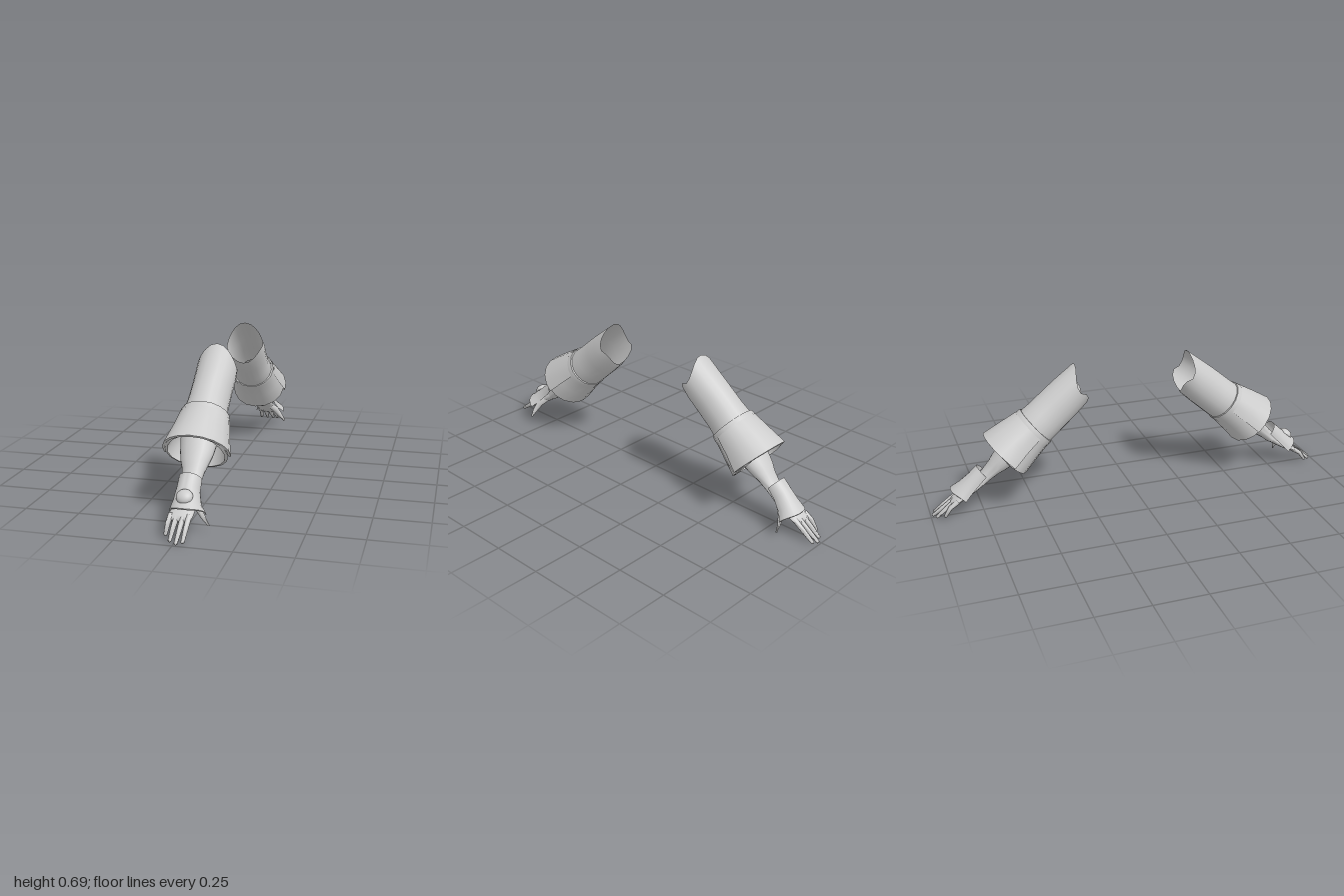
import * as THREE from 'three';
import { toCreasedNormals } from 'three/addons/utils/BufferGeometryUtils.js';

const armour = new THREE.MeshStandardMaterial({ color: 0xcccccc, side: THREE.DoubleSide });
armour.name = 'pale grey';

const DEG = Math.PI / 180;

// Skins elliptical rings [along, centreX, centreY, radiusX, radiusY]; from/to give an open arc in degrees.
// shift(angle, ringIndex) moves ring points along the arm.
function loft(name, rings, { sides = 16, from = 0, to = 360, shift = () => 0, crease = 0.7 } = {}) {
  const closed = to - from === 360;
  const count = closed ? sides : sides + 1;
  const pos = [], index = [];
  rings.forEach(([u, cx, cy, rx, ry], r) => {
    for (let i = 0; i < count; i++) {
      const a = (from + (to - from) * i / sides) * DEG;
      pos.push(cx + rx * Math.cos(a), cy + ry * Math.sin(a), u + shift(a, r));
    }
  });
  for (let r = 0; r < rings.length - 1; r++) {
    for (let i = 0; i < sides; i++) {
      const j = (i + 1) % count;
      const a = r * count + i, b = r * count + j, c = a + count, d = b + count;
      index.push(a, b, d, a, d, c);
    }
  }
  let geo = new THREE.BufferGeometry();
  geo.setAttribute('position', new THREE.Float32BufferAttribute(pos, 3));
  geo.setIndex(index);
  geo.computeVertexNormals();
  geo = toCreasedNormals(geo, crease);
  const mesh = new THREE.Mesh(geo, armour);
  mesh.name = name;
  return mesh;
}

// Tapered digit through [x, y, along, radius] points, closed at the tip
function digit(name, pts) {
  const rings = pts.map(([x, y, u, r]) => [u, x, y, r, r]);
  const [x, y, u, r] = pts[pts.length - 1];
  rings.push([u + r * 0.6, x, y, r * 0.6, r * 0.6], [u + r * 0.8, x, y, 0.0003, 0.0003]);
  return loft(name, rings, { sides: 10, crease: 1.4 });
}

// Wavy shoulder opening: peak on top, notches at the sides, dip below
function sleeveRim(a, ring) {
  if (ring > 0) return 0;
  const s = Math.sin(a);
  return s > 0 ? -0.07 * s * s : 0.08 * s + 0.11 * s * s;
}

// One arm, built along +z with the back of the hand facing +y
function buildArm(withKnob) {
  const arm = new THREE.Group();

  arm.add(loft('upperSleeve', [
    [0.03, 0.002, 0.007, 0.092, 0.089],
    [0.08, 0.004, 0.006, 0.093, 0.095],
    [0.15, 0.002, 0.005, 0.091, 0.098],
    [0.24, 0.000, 0.004, 0.092, 0.099],
    [0.31, 0.000, 0.005, 0.101, 0.101],
    [0.36, 0.000, 0.005, 0.100, 0.098],
  ], { sides: 20, shift: sleeveRim }));

  // Flared cuff with a rolled start, thick rim and inner wall
  arm.add(loft('elbowCuff', [
    [0.292, 0, 0.006, 0.100, 0.100],
    [0.292, 0, 0.006, 0.109, 0.105],
    [0.310, 0, 0.006, 0.113, 0.107],
    [0.330, 0, 0.006, 0.112, 0.107],
    [0.400, 0, 0.008, 0.125, 0.118],
    [0.482, 0, 0.009, 0.139, 0.133],
    [0.486, 0, 0.009, 0.127, 0.121],
    [0.430, 0, 0.006, 0.112, 0.106],
    [0.360, 0, 0.003, 0.080, 0.070],
  ], { sides: 16, shift: (a, r) => (r > 4 && r < 7 ? 0.012 * Math.cos(a) ** 2 : 0) }));

  // Overlapping upper plate of the cuff with pointed side corners
  arm.add(loft('cuffFlap', [
    [0.315, 0, 0.006, 0.114, 0.109],
    [0.400, 0, 0.008, 0.129, 0.124],
    [0.487, 0, 0.008, 0.151, 0.141],
    [0.489, 0, 0.008, 0.140, 0.132],
  ], { sides: 10, from: -8, to: 188, shift: (a, r) => (r > 1 ? 0.01 * Math.max(0, Math.sin(a)) : 0) }));

  arm.add(loft('forearm', [
    [0.350, -0.003, 0.000, 0.084, 0.074],
    [0.430, -0.003, 0.000, 0.082, 0.066],
    [0.490, 0.000, 0.000, 0.074, 0.052],
    [0.540, 0.001, -0.001, 0.062, 0.045],
    [0.575, 0.003, -0.003, 0.050, 0.036],
    [0.630, 0.005, -0.005, 0.042, 0.028],
    [0.670, 0.005, -0.006, 0.041, 0.026],
  ], { sides: 18, crease: 1.2 }));

  // Hand
  arm.add(loft('palm', [
    [0.645, 0.005, -0.006, 0.040, 0.026],
    [0.700, 0.006, -0.004, 0.045, 0.022],
    [0.760, 0.005, 0.005, 0.051, 0.020],
    [0.810, -0.001, 0.015, 0.053, 0.014],
    [0.832, -0.002, 0.018, 0.046, 0.009],
    [0.836, -0.002, 0.018, 0.001, 0.001],
  ], { sides: 16, crease: 1.2 }));
  const fingers = [
    ['littleFinger', -0.041, -0.046, 0.008, 0.892],
    ['ringFinger', -0.015, -0.018, 0.022, 0.926],
    ['middleFinger', 0.011, 0.012, 0.029, 0.940],
    ['indexFinger', 0.036, 0.038, 0.026, 0.930],
  ];
  for (const [name, x0, x1, y1, u1] of fingers) {
    arm.add(digit(name, [
      [x0, 0.015, 0.800, 0.013],
      [(x0 + x1) / 2, 0.021, (0.8 + u1) / 2, 0.011],
      [x1, y1, u1, 0.008],
    ]));
  }
  arm.add(digit('thumb', [
    [0.030, -0.004, 0.700, 0.018],
    [0.058, -0.010, 0.748, 0.017],
    [0.084, -0.030, 0.782, 0.012],
    [0.106, -0.050, 0.802, 0.006],
  ]));

  // Half-shell plate over the back of the hand
  arm.add(loft('handGuard', [
    [0.625, 0.004, 0.012, 0.050, 0.050],
    [0.680, 0.005, 0.006, 0.051, 0.053],
    [0.740, 0.012, 0.000, 0.062, 0.058],
    [0.796, 0.022, -0.004, 0.079, 0.064],
    [0.798, 0.022, -0.004, 0.074, 0.057],
  ], { sides: 14, from: -4, to: 184, shift: (a, r) => (r > 2 ? -0.02 * Math.cos(a) ** 2 : 0) }));

  if (withKnob) {
    const knob = new THREE.Mesh(new THREE.SphereGeometry(1, 20, 8, 0, Math.PI * 2, 0, Math.PI / 2), armour);
    knob.name = 'guardKnob';
    knob.scale.set(0.036, 0.024, 0.034);
    knob.position.set(0.01, 0.054, 0.737);
    arm.add(knob);
  }

  // Slope the arm down and away from the shoulder
  arm.rotation.x = 40 * DEG;
  arm.position.set(0, 0.59, 0.25);
  return arm;
}

export function createModel() {
  const model = new THREE.Group();
  model.name = 'armouredArms';

  const front = buildArm(true);
  front.name = 'frontArm';

  const back = new THREE.Group();
  back.name = 'backArm';
  back.add(buildArm(false));
  back.scale.z = -1;

  model.add(front, back);
  return model;
}
